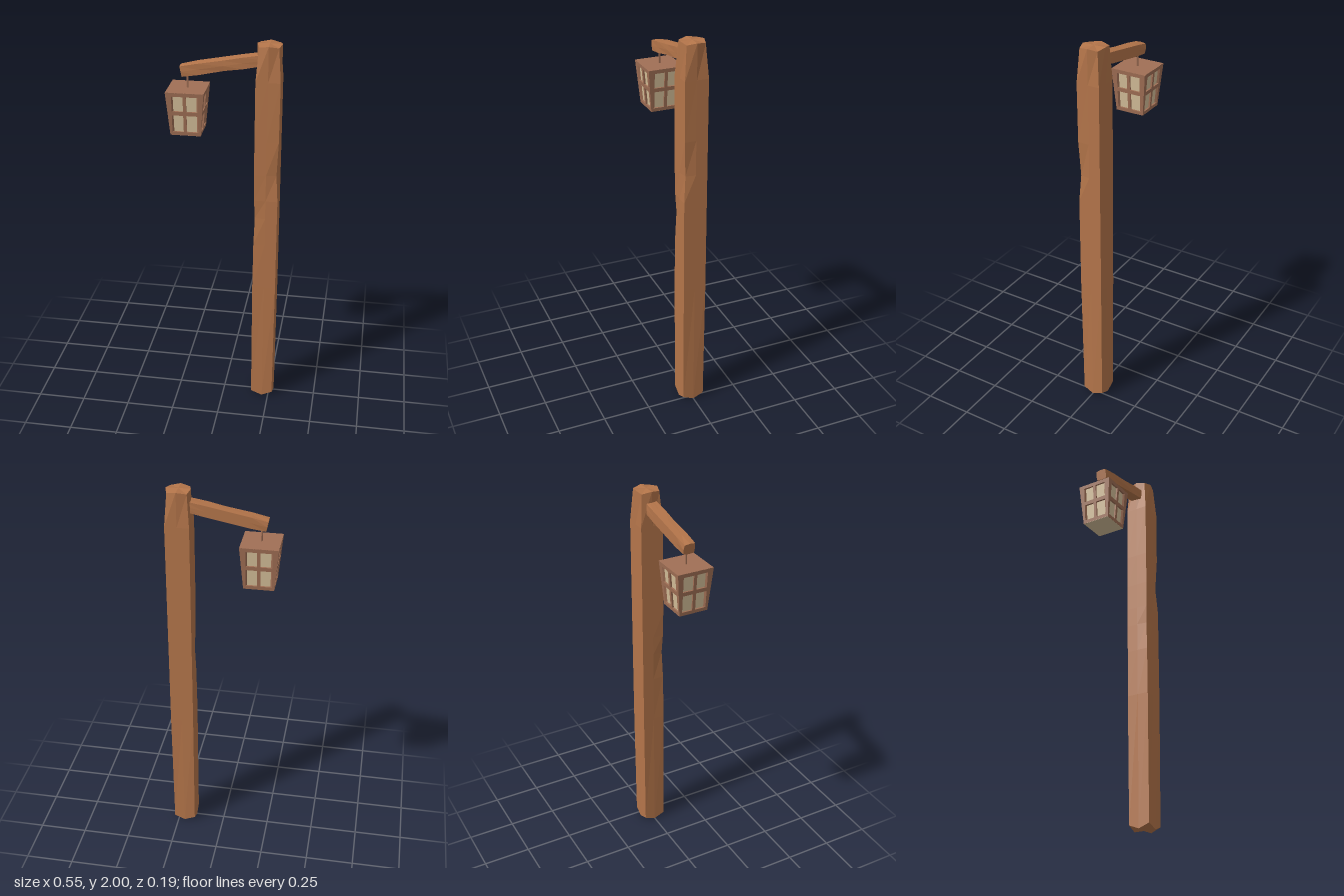
import * as THREE from 'three';

const wood = new THREE.MeshStandardMaterial({ color: 0xb4754a, flatShading: true });
const frameWood = new THREE.MeshStandardMaterial({ color: 0xa06f55, flatShading: true });
const glass = new THREE.MeshStandardMaterial({ color: 0xd6c09a, flatShading: true });

// Section order: corners (even) and side middles (odd)
const SECTION = [[1, 1], [1, 0], [1, -1], [0, -1], [-1, -1], [-1, 0], [-1, 1], [0, 1]];

// Hewn timber along y. Each ring: [y, four corner cuts, corner lift]
function hewnBeam(halfX, halfZ, rings) {
  const loops = rings.map(([y, cuts, lift = 0]) => SECTION.map(([sx, sz], j) => {
    const corner = j % 2 === 0;
    const cut = corner ? cuts[j / 2] : 0;
    return [sx * (halfX - cut), y + (corner ? lift : 0), sz * (halfZ - cut)];
  }));
  const pos = [];
  const tri = (...pts) => pts.forEach((p) => pos.push(...p));
  const n = SECTION.length;
  const last = loops.length - 1;
  const bottom = [0, rings[0][0], 0];
  const top = [0, rings[last][0], 0];
  for (let j = 0; j < n; j++) {
    const k = (j + 1) % n;
    for (let i = 0; i < last; i++) {
      const a = loops[i], b = loops[i + 1];
      tri(a[j], a[k], b[k]);
      tri(a[j], b[k], b[j]);
    }
    tri(bottom, loops[0][k], loops[0][j]);
    tri(top, loops[last][j], loops[last][k]);
  }
  const g = new THREE.BufferGeometry();
  g.setAttribute('position', new THREE.Float32BufferAttribute(pos, 3));
  g.computeVertexNormals();
  return g;
}

function addMesh(parent, name, geometry, material, x = 0, y = 0, z = 0) {
  const m = new THREE.Mesh(geometry, material);
  m.name = name;
  m.position.set(x, y, z);
  parent.add(m);
  return m;
}

// Lantern measures
const Y0 = 1.535, Y1 = 1.757, HALF0 = 0.075, HALF1 = 0.094, WALL = 0.012;
const halfAt = (y) => HALF0 + (HALF1 - HALF0) * (y - Y0) / (Y1 - Y0);

// One tapered lantern side with four window openings and mitred ends
function lanternSide() {
  const shape = new THREE.Shape([[-HALF0, Y0], [HALF0, Y0], [HALF1, Y1], [-HALF1, Y1]]
    .map(([x, y]) => new THREE.Vector2(x, y)));
  for (const [x0, x1] of [[-0.064, -0.008], [0.008, 0.064]]) {
    for (const [y0, y1] of [[1.553, 1.64], [1.66, 1.738]]) {
      shape.holes.push(new THREE.Path([[x0, y0], [x0, y1], [x1, y1], [x1, y0]]
        .map(([x, y]) => new THREE.Vector2(x, y))));
    }
  }
  const g = new THREE.ExtrudeGeometry(shape, { depth: WALL, bevelEnabled: false });
  const p = g.attributes.position;
  for (let i = 0; i < p.count; i++) {
    const h = halfAt(p.getY(i));
    const out = h + p.getZ(i) - WALL;
    p.setXYZ(i, p.getX(i) * out / h, p.getY(i), out);
  }
  g.computeVertexNormals();
  return g;
}

// Square tapered block
function taperedBlock(halfTop, halfBottom, height) {
  return new THREE.CylinderGeometry(halfTop * Math.SQRT2, halfBottom * Math.SQRT2, height, 4)
    .rotateY(Math.PI / 4);
}

export function createModel() {
  const root = new THREE.Group();
  root.name = 'lanternPost';

  // Upright post with chipped corners
  addMesh(root, 'post', hewnBeam(0.06, 0.06, [
    [0, [0.004, 0.003, 0.003, 0.002], 0.022],
    [0.7, [0, 0, 0, 0]],
    [0.95, [0, 0, 0, 0.002]],
    [1.1, [0, 0, 0, 0.007]],
    [1.2, [0, 0, 0, 0.002]],
    [1.34, [0.009, 0, 0, 0]],
    [1.52, [0.001, 0, 0, 0]],
    [1.82, [0, 0, 0, 0]],
    [1.995, [0.012, 0.013, 0.01, 0.013], -0.008],
  ]), wood, 0.215, 0, 0);

  // Sloping arm, running from its outer end into the post
  const arm = addMesh(root, 'arm', hewnBeam(0.028, 0.03, [
    [0, [0.002, 0.003, 0.004, 0.002]],
    [0.08, [0, 0, 0, 0]],
    [0.21, [0.003, 0, 0, 0.002]],
    [0.3, [0, 0, 0, 0]],
    [0.42, [0.002, 0.002, 0.002, 0.002]],
  ]), wood, -0.21, 1.843, 0);
  arm.rotation.z = 0.187 - Math.PI / 2;

  // Hanging lantern
  const lantern = new THREE.Group();
  lantern.name = 'lantern';
  lantern.position.x = -0.182;
  root.add(lantern);
  addMesh(lantern, 'cord', new THREE.CylinderGeometry(0.005, 0.005, 0.09, 6), frameWood, 0, 1.793, 0);
  const side = lanternSide();
  for (let i = 0; i < 4; i++) {
    addMesh(lantern, 'windowFrame', side, frameWood).rotation.y = i * Math.PI / 2;
  }
  addMesh(lantern, 'roof', taperedBlock(HALF1 - 0.0005, halfAt(Y1 - WALL) - 0.0005, WALL),
    frameWood, 0, Y1 - WALL / 2 + 0.0005, 0);
  const glassHeight = Y1 - Y0 - WALL;
  addMesh(lantern, 'glass', taperedBlock(halfAt(Y1 - WALL) - 0.009, HALF0 - 0.009, glassHeight),
    glass, 0, Y0 + glassHeight / 2, 0);
  addMesh(lantern, 'base', new THREE.BoxGeometry(0.148, 0.004, 0.148), glass, 0, Y0 + 0.0015, 0);

  return root;
}
